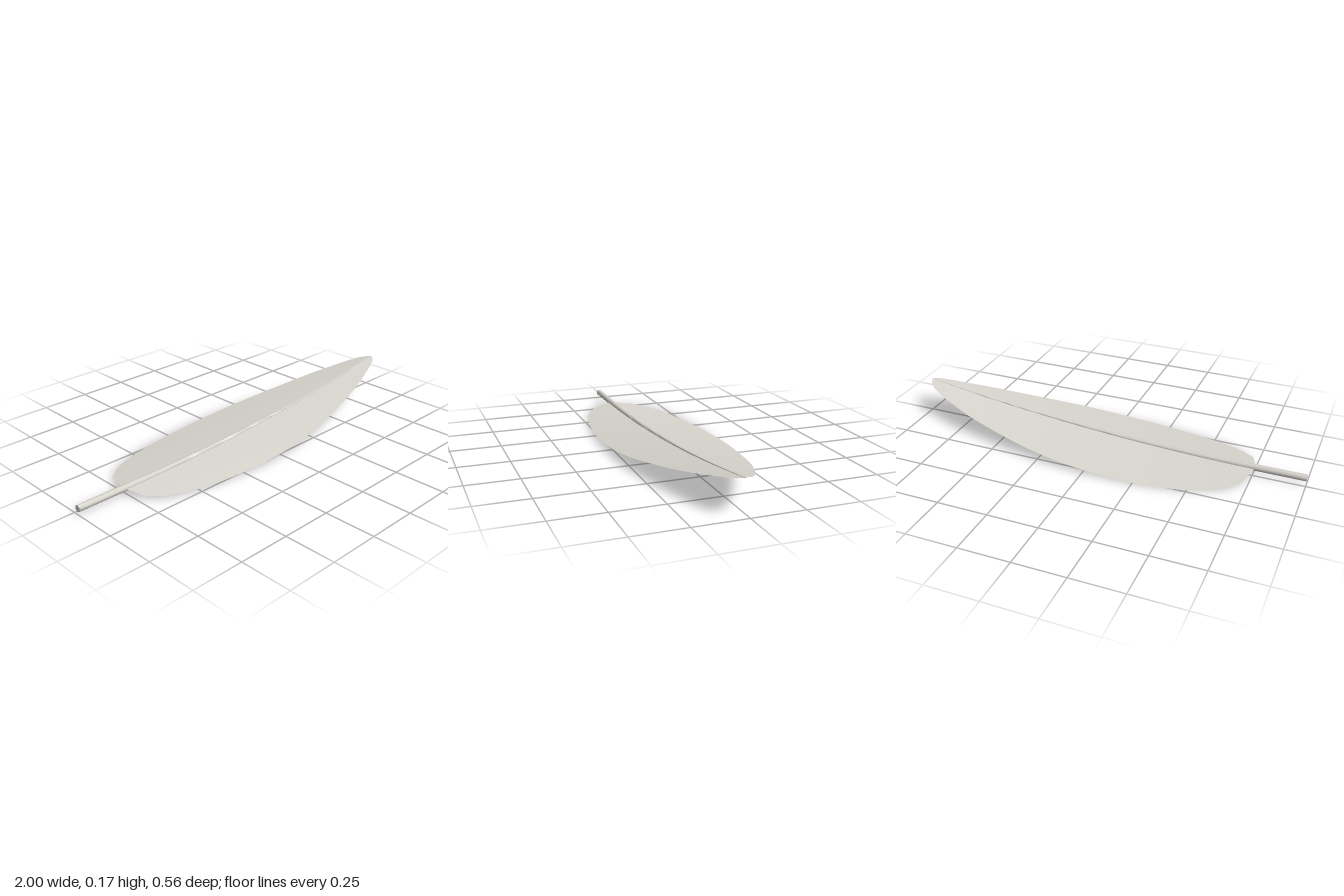
import * as THREE from 'three';
import { toCreasedNormals } from 'three/addons/utils/BufferGeometryUtils.js';

const AXIS_Z = 0.027;
const VANE_START = -0.755;

// Distance along the feather, 0 until the vane starts and 1 at the tip
const along = (x) => Math.max(0, (x - VANE_START) / (1 - VANE_START));
// The shaft lies flat at the quill and curves up to the tip
const shaftY = (x) => 0.029 + 0.141 * along(x) ** 2;
const shaftRadius = (x) => 0.0165 - 0.0145 * along(x);

// Eight-sided tapering shaft, bent along the curve
function shaftGeometry() {
  const geo = new THREE.CylinderGeometry(1, 1, 2, 8, 40);
  geo.rotateY(Math.PI / 8);
  geo.rotateZ(-Math.PI / 2);
  const p = geo.attributes.position;
  for (let i = 0; i < p.count; i++) {
    const x = p.getX(i), r = shaftRadius(x);
    p.setXYZ(i, x, shaftY(x) + p.getY(i) * r, AXIS_Z + p.getZ(i) * r);
  }
  return toCreasedNormals(geo, 0.9);
}

// One half of the feather: rows along the shaft, columns out to the edge
function vaneGeometry(outline, side) {
  const curve = new THREE.SplineCurve(outline.map(([x, w]) => new THREE.Vector2(x, w)));
  const rows = [new THREE.Vector2(VANE_START, 0.012), ...curve.getPoints(64)];
  const cols = 8;
  const positions = [], index = [];
  rows.forEach(({ x, y: width }, i) => {
    for (let j = 0; j <= cols; j++) {
      const w = Math.max(0, width) * j / cols;
      positions.push(x, shaftY(x) - 0.11 * w - 0.06 * w * w, AXIS_Z + side * w);
      if (i === rows.length - 1 || j === cols) continue;
      const a = i * (cols + 1) + j, b = a + cols + 1;
      if (side < 0) index.push(a, b, a + 1, b, b + 1, a + 1);
      else index.push(a, a + 1, b, b, a + 1, b + 1);
    }
  });
  const geo = new THREE.BufferGeometry();
  geo.setAttribute('position', new THREE.Float32BufferAttribute(positions, 3));
  geo.setIndex(index);
  geo.computeVertexNormals();
  return geo;
}

export function createModel() {
  const group = new THREE.Group();
  group.name = 'feather';
  const material = new THREE.MeshStandardMaterial({ color: 0xd8d5ce, side: THREE.DoubleSide });
  material.name = 'pale feather grey';

  const add = (name, geo) => {
    const mesh = new THREE.Mesh(geo, material);
    mesh.name = name;
    group.add(mesh);
  };

  // Outlines as [x, width from the shaft]
  const wide = [[-0.725, 0.13], [-0.61, 0.22], [-0.4, 0.285], [-0.09, 0.31], [0.245, 0.285],
    [0.62, 0.2], [0.83, 0.125], [0.96, 0.06], [1, 0]];
  const narrow = [[-0.725, 0.103], [-0.61, 0.175], [-0.4, 0.226], [-0.09, 0.253], [0.245, 0.233],
    [0.62, 0.152], [0.83, 0.087], [0.96, 0.037], [1, 0]];

  add('shaft', shaftGeometry());
  add('backVane', vaneGeometry(wide, -1));
  add('frontVane', vaneGeometry(narrow, 1));
  return group;
}
